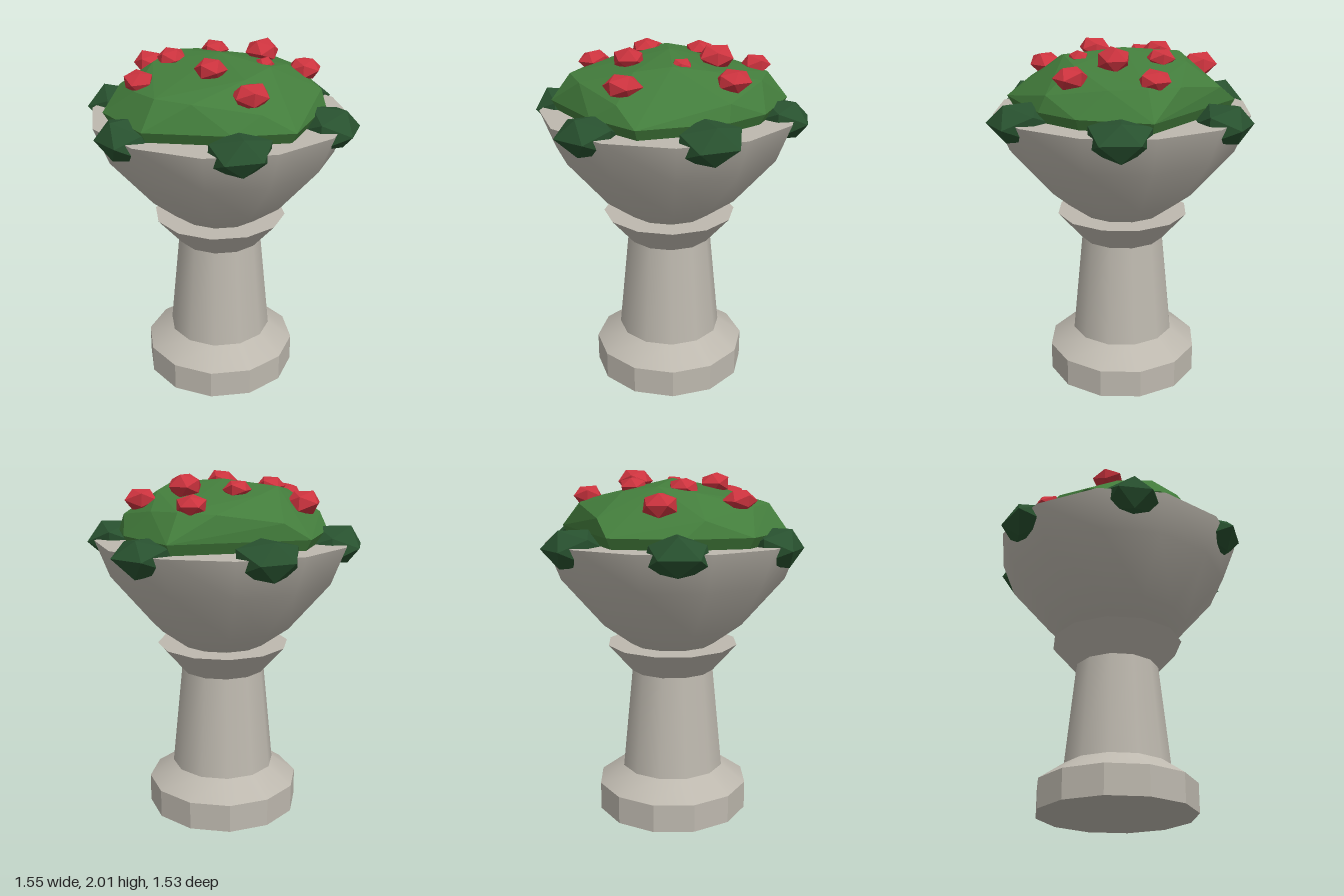
import * as THREE from 'three';
import { ConvexGeometry } from 'three/addons/geometries/ConvexGeometry.js';

const SIDES = 12;

function material(name, color) {
  const m = new THREE.MeshStandardMaterial({ color });
  m.name = name;
  return m;
}

function flat(geometry) {
  const g = geometry.index ? geometry.toNonIndexed() : geometry;
  g.computeVertexNormals();
  return g;
}

// Small seeded generator, used to make the clumps irregular
function seeded(seed) {
  return () => {
    seed = (seed * 16807) % 2147483647;
    return seed / 2147483647;
  };
}

// Irregular, faceted lump: convex hull of a jittered icosahedron
function lump(rx, ry, rz, jitter, random) {
  const pos = new THREE.IcosahedronGeometry(1, 0).attributes.position;
  const unique = new Map();
  for (let i = 0; i < pos.count; i++) {
    const v = new THREE.Vector3().fromBufferAttribute(pos, i);
    unique.set(v.toArray().map((n) => Math.round(n * 100)).join(), v);
  }
  const points = [...unique.values()].map((v) =>
    v.multiplyScalar(1 + (random() - 0.5) * jitter).multiply(new THREE.Vector3(rx, ry, rz)));
  return flat(new ConvexGeometry(points));
}

export function createModel() {
  const model = new THREE.Group();
  model.name = 'flowerUrn';
  const stone = material('stone', 0xbdb8ae);
  const green = material('foliageGreen', 0x437d3c);
  const darkGreen = material('leafDarkGreen', 0x28512f);
  const red = material('flowerRed', 0xcc333e);

  function add(name, geometry, mat, parent = model) {
    const mesh = new THREE.Mesh(geometry, mat);
    mesh.name = name;
    parent.add(mesh);
    return mesh;
  }

  // Pedestal, each section given as top radius, bottom radius, bottom y, top y
  function section(name, top, bottom, y0, y1, faceted = false) {
    const g = new THREE.CylinderGeometry(top, bottom, y1 - y0, SIDES);
    g.translate(0, (y0 + y1) / 2, 0);
    add(name, faceted ? flat(g) : g, stone);
  }
  section('plinth', 0.45, 0.45, 0, 0.165, true);
  section('shoulder', 0.305, 0.45, 0.165, 0.265);
  section('column', 0.245, 0.305, 0.265, 0.86);
  section('collar', 0.385, 0.245, 0.86, 1.02);

  // Bowl with its flat filled top
  const profile = [[0.245, 1.02], [0.41, 1.14], [0.65, 1.42], [0.732, 1.63]];
  add('bowl', new THREE.LatheGeometry(profile.map((p) => new THREE.Vector2(...p)), SIDES), stone);
  const rim = new THREE.CircleGeometry(0.732, SIDES);
  rim.rotateX(-Math.PI / 2);
  add('bowlTop', rim.translate(0, 1.63, 0), stone);

  // Foliage dome: irregular outline, then the upper rounds
  const outline = [[0, 0.66], [-0.39, 0.53], [-0.56, 0.2], [-0.6, -0.2], [0, -0.67],
    [0.36, -0.49], [0.52, -0.28], [0.58, -0.02], [0.63, 0.2], [0.4, 0.43]];
  const dome = [new THREE.Vector3(0, 1.97, 0)];
  for (const [x, z] of outline) {
    dome.push(new THREE.Vector3(x, 1.69, z), new THREE.Vector3(x * 0.85, 1.52, z * 0.85));
  }
  for (const s of [-1, 1]) {
    dome.push(new THREE.Vector3(0.33 * s, 1.94, 0), new THREE.Vector3(0, 1.84, 0.55 * s));
    for (const t of [-1, 1]) {
      dome.push(new THREE.Vector3(0.19 * s, 1.83, 0.49 * t));
      dome.push(new THREE.Vector3(0.31 * s, 1.91, 0.2 * t));
      dome.push(new THREE.Vector3(0.48 * s, 1.78, 0.29 * t));
    }
  }
  add('foliage', flat(new ConvexGeometry(dome)), green);

  // Six leaf clumps hanging over the rim
  const leaves = new THREE.Group();
  leaves.name = 'leafClumps';
  model.add(leaves);
  const random = seeded(41);
  for (let i = 0; i < 6; i++) {
    const angle = THREE.MathUtils.degToRad(-16 + i * 60);
    const clump = add('leafClump', lump(0.17, 0.12, 0.19, 0.2, random), darkGreen, leaves);
    clump.position.set(Math.cos(angle) * 0.625, 1.61, Math.sin(angle) * 0.625);
    clump.rotation.y = -angle;
  }

  // Flowers: x, y, z, radius
  const flowers = new THREE.Group();
  flowers.name = 'flowers';
  model.add(flowers);
  const spots = [[-0.05, 1.87, -0.49, 0.09], [0.11, 1.945, -0.25, 0.1], [0.35, 1.87, -0.31, 0.1],
    [-0.17, 1.93, -0.18, 0.08], [0.26, 1.93, -0.05, 0.06], [-0.46, 1.855, 0.05, 0.105],
    [-0.24, 1.93, 0.12, 0.09], [0.11, 1.94, 0.22, 0.09], [0.39, 1.855, 0.26, 0.105],
    [-0.22, 1.865, 0.42, 0.09]];
  for (const [x, y, z, r] of spots) {
    const flower = add('flower', lump(r, r * 0.68, r, 0.2, random), red, flowers);
    flower.position.set(x, y, z);
    flower.rotation.y = random() * Math.PI;
  }

  return model;
}
